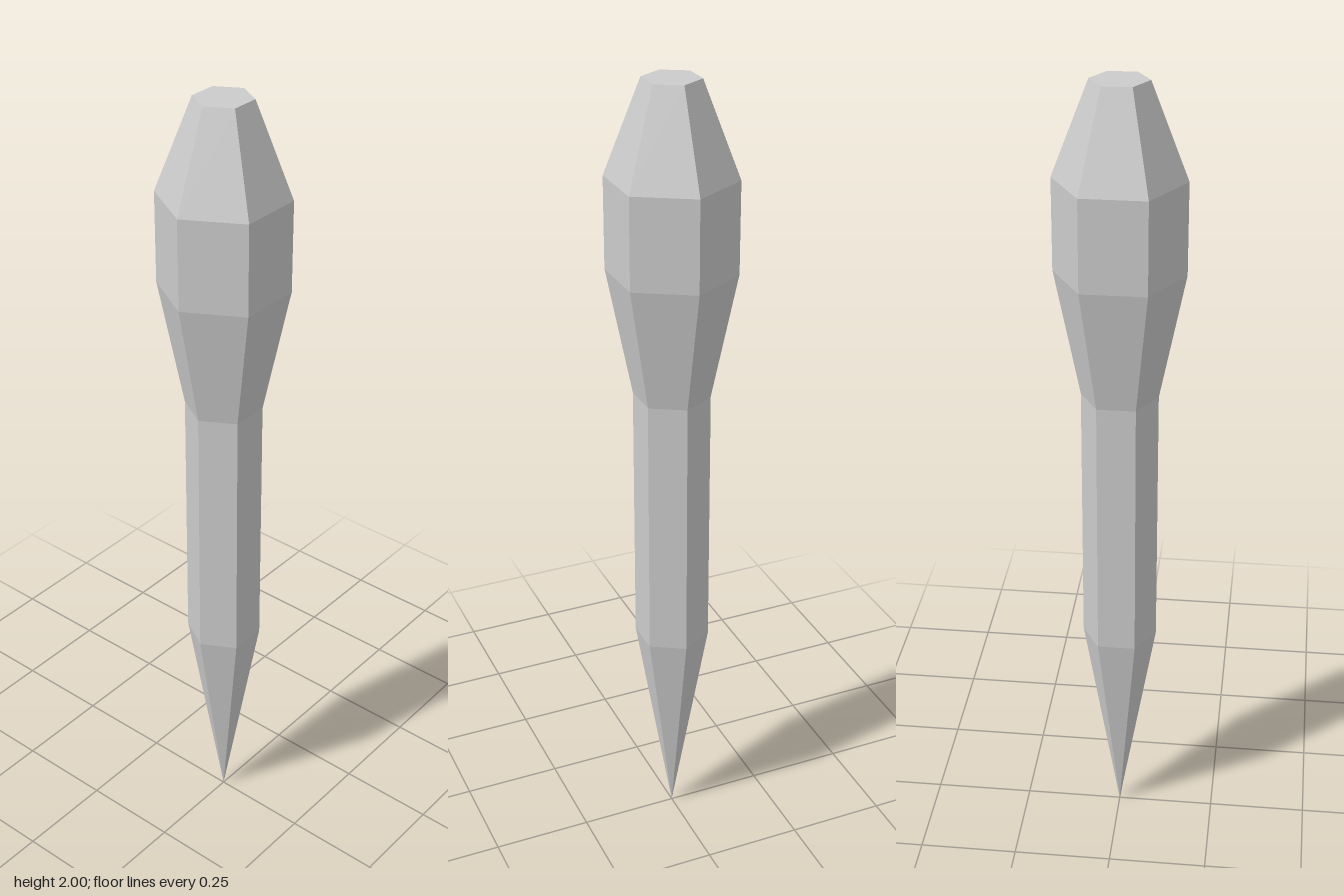
import * as THREE from 'three';

const SIDES = 6;

export function createModel() {
  const group = new THREE.Group();
  const material = new THREE.MeshStandardMaterial({ color: 0xcccccc, flatShading: true });

  // One hexagonal section, corners on the z axis
  function section(name, y0, r0, y1, r1) {
    const geometry = new THREE.CylinderGeometry(r1, r0, y1 - y0, SIDES, 1, true);
    geometry.translate(0, (y0 + y1) / 2, 0);
    const mesh = new THREE.Mesh(geometry, material);
    mesh.name = name;
    group.add(mesh);
  }

  // Sections from the point upwards
  section('spike', 0, 0, 0.555, 0.094);
  section('shaft', 0.555, 0.094, 1.232, 0.094);
  section('headFlare', 1.232, 0.094, 1.547, 0.157);
  section('headBand', 1.547, 0.157, 1.772, 0.157);
  section('headTaper', 1.772, 0.157, 2, 0.069);

  // Flat top, turned so its corners meet the taper
  const cap = new THREE.CircleGeometry(0.069, SIDES, Math.PI / 2);
  cap.rotateX(-Math.PI / 2).translate(0, 2, 0);
  const top = new THREE.Mesh(cap, material);
  top.name = 'headTop';
  group.add(top);

  return group;
}
